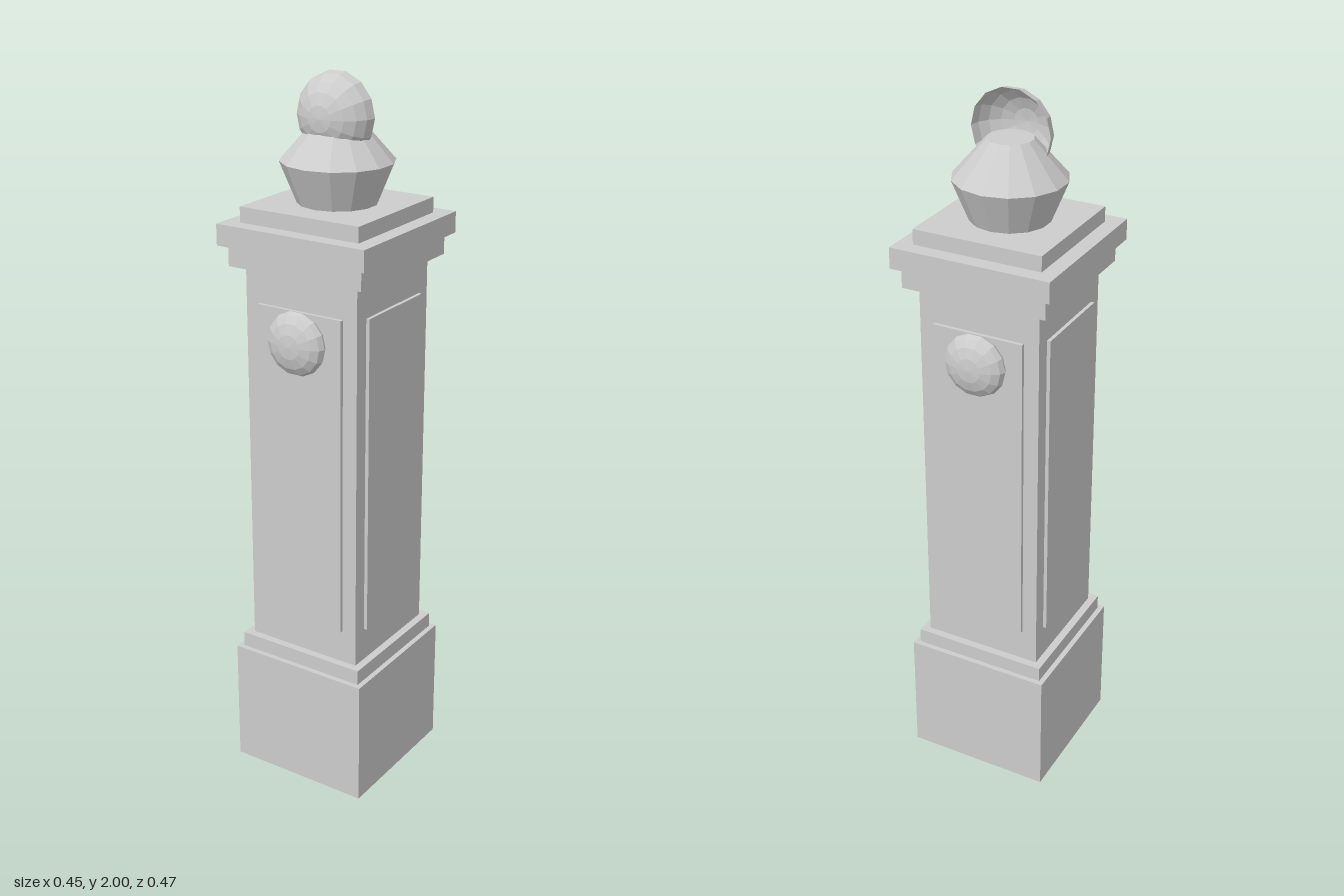
import * as THREE from 'three';

export function createModel() {
  const model = new THREE.Group();
  const stone = new THREE.MeshStandardMaterial({ color: 0xcccccc, flatShading: true });
  stone.name = 'grey stone';
  const openStone = stone.clone();
  openStone.side = THREE.DoubleSide;

  const add = (name, geometry, x = 0, y = 0, z = 0, material = stone) => {
    const mesh = new THREE.Mesh(geometry, material);
    mesh.name = name;
    mesh.position.set(x, y, z);
    model.add(mesh);
    return mesh;
  };

  // Stacked square courses: name, half width, bottom, top
  const courses = [
    ['base', 0.21, 0, 0.365],
    ['baseStep', 0.195, 0.365, 0.408],
    ['shaft', 0.173, 0.408, 1.505],
    ['lowerCornice', 0.205, 1.505, 1.562],
    ['upperCornice', 0.226, 1.562, 1.62],
    ['capSlab', 0.182, 1.62, 1.662],
  ];
  for (const [name, half, y0, y1] of courses) {
    add(name, new THREE.BoxGeometry(half * 2, y1 - y0, half * 2), 0, (y0 + y1) / 2, 0);
  }

  // Raised panel on each face of the shaft
  for (let i = 0; i < 4; i++) {
    const a = (i * Math.PI) / 2;
    const panel = add('panel', new THREE.BoxGeometry(0.26, 0.905, 0.02),
      Math.sin(a) * 0.173, 0.957, Math.cos(a) * 0.173);
    panel.rotation.y = a;
  }

  // Domed medallions on the front and back
  for (const side of [1, -1]) {
    const dome = new THREE.SphereGeometry(1, 14, 8);
    dome.rotateX(Math.PI / 2);
    dome.scale(0.088, 0.088, 0.04);
    add('medallion', dome, 0, 1.327, side * 0.194);
  }

  // Faceted finial
  add('finialBowl', new THREE.CylinderGeometry(0.152, 0.107, 0.11, 14, 1, true), 0, 1.717, 0);
  add('finialShoulder', new THREE.CylinderGeometry(0.061, 0.152, 0.103, 14), 0, 1.8235, 0);

  // Half ball, hollow and open at the back
  const ball = new THREE.SphereGeometry(1, 14, 5, 0, Math.PI * 2, 0, Math.PI / 2);
  ball.rotateX(Math.PI / 2);
  ball.scale(0.112, 0.112, 0.09);
  add('finialHalfBall', ball, 0, 1.889, 0, openStone);

  return model;
}
